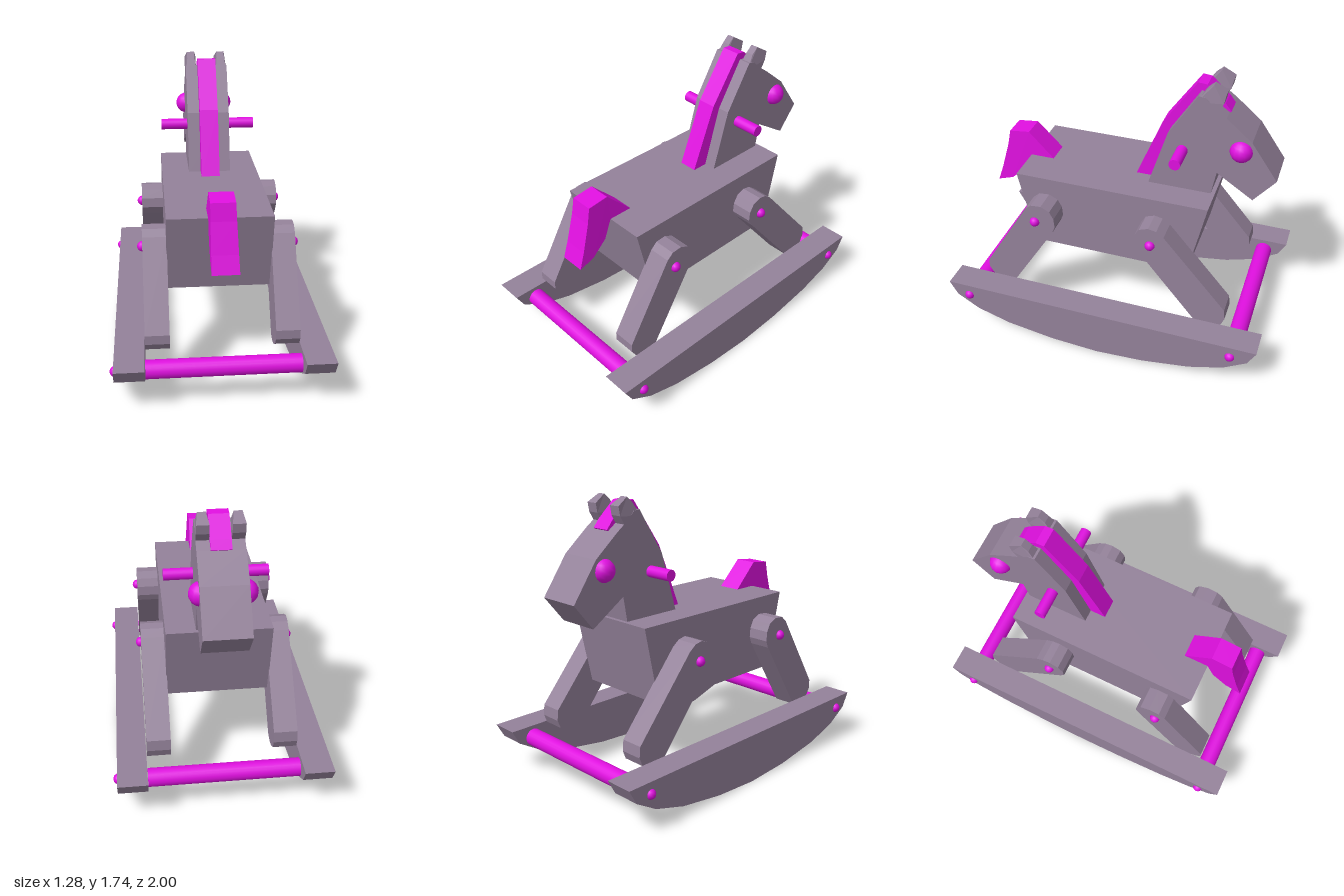
import * as THREE from 'three';

export function createModel() {
  const model = new THREE.Group();
  model.name = 'rockingHorse';
  const wood = new THREE.MeshStandardMaterial({ color: 0x94829a });
  wood.name = 'mauve wood';
  const accent = new THREE.MeshStandardMaterial({ color: 0xe010e0 });
  accent.name = 'magenta accent';

  function add(name, geometry, material, x = 0, y = 0, z = 0) {
    const mesh = new THREE.Mesh(geometry, material);
    mesh.name = name;
    mesh.position.set(x, y, z);
    model.add(mesh);
    return mesh;
  }

  // Side profile given as [z, y] points, extruded across x and centred on x = 0
  function slab(points, width) {
    const shape = new THREE.Shape(points.map(([z, y]) => new THREE.Vector2(z, y)));
    const g = new THREE.ExtrudeGeometry(shape, { depth: width, bevelEnabled: false });
    g.translate(0, 0, -width / 2);
    g.rotateY(-Math.PI / 2);
    return g;
  }

  // Shift the x of each vertex by a rule
  function bend(g, rule) {
    const p = g.attributes.position;
    for (let i = 0; i < p.count; i++) p.setX(i, rule(p.getX(i), p.getY(i), p.getZ(i)));
    g.computeVertexNormals();
    return g;
  }

  function rod(name, radius, length, y, z) {
    const g = new THREE.CylinderGeometry(radius, radius, length, 20);
    g.rotateZ(Math.PI / 2);
    add(name, g, accent, 0, y, z);
  }

  // Body
  add('body', slab([[0.61, 1.03], [0.5, 0.55], [-0.487, 0.55], [-0.59, 1.03]], 0.61), wood);

  // Neck and head
  add('head', slab([
    [-0.18, 1.03], [-0.29, 1.39], [-0.46, 1.66], [-0.5, 1.655], [-0.57, 1.59], [-0.625, 1.55],
    [-0.78, 1.42], [-0.94, 1.193], [-0.813, 1.037], [-0.592, 1.182], [-0.565, 1.03],
  ], 0.265), wood);

  // Mane running up the neck and over to the forelock
  add('mane', slab([
    [-0.083, 1.03], [-0.24, 1.42], [-0.437, 1.705], [-0.49, 1.7], [-0.6, 1.6], [-0.635, 1.555],
    [-0.61, 1.535], [-0.5, 1.6], [-0.3, 1.35], [-0.2, 1.03],
  ], 0.115), accent);

  // Tail, flaring slightly to one side at the tip
  const tail = slab([
    [0.46, 1.03], [0.62, 1.19], [0.75, 1.175], [0.77, 1.075], [0.82, 0.9],
    [0.855, 0.797], [0.755, 0.83], [0.66, 0.915], [0.61, 1.03],
  ], 0.14);
  add('tail', bend(tail, (x, y) => (x > 0 ? x + 0.04 * Math.max(0, 1.17 - y) : x)), accent);

  // Cross rods and handle
  rod('rearCrossRod', 0.054, 0.885, 0.23, 0.857);
  rod('frontCrossRod', 0.054, 0.885, 0.23, -0.85);
  rod('handle', 0.034, 0.6, 1.295, -0.38);

  const rockerHalf = [[1, 0.305], [0.95, 0.215], [0.81, 0.13], [0.6, 0.065], [0.3, 0.018]];
  const rocker = [...rockerHalf, [0, 0], ...rockerHalf.map(([z, y]) => [-z, y]).reverse()];
  const rearLeg = [
    [0.315, 0.785], [0.32, 0.845], [0.345, 0.893], [0.4, 0.92], [0.465, 0.915], [0.505, 0.88],
    [0.795, 0.405], [0.795, 0.35], [0.768, 0.305], [0.71, 0.27], [0.66, 0.265], [0.62, 0.28], [0.333, 0.74],
  ];
  const frontLeg = [
    [-0.185, 0.79], [-0.19, 0.85], [-0.22, 0.9], [-0.275, 0.92], [-0.325, 0.91], [-0.37, 0.877],
    [-0.76, 0.42], [-0.766, 0.353], [-0.745, 0.3], [-0.69, 0.268], [-0.64, 0.265], [-0.59, 0.28], [-0.215, 0.74],
  ];
  const ear = [
    [-0.45, 1.62], [-0.5, 1.7], [-0.54, 1.735], [-0.613, 1.69], [-0.603, 1.635], [-0.57, 1.58], [-0.5, 1.56],
  ];

  // Mirrored parts
  for (const [side, s] of [['left', 1], ['right', -1]]) {
    add(side + 'Rocker', slab(rocker, 0.172), wood, s * 0.531);
    add(side + 'RearLeg', slab(rearLeg, 0.14), wood, s * 0.371);
    add(side + 'FrontLeg', slab(frontLeg, 0.14), wood, s * 0.371);
    const earGeometry = bend(slab(ear, 0.072), (x, y) => x * (y > 1.695 ? 0.65 : 1));
    add(side + 'Ear', earGeometry, wood, s * 0.0965);

    // Eye
    add(side + 'Eye', new THREE.SphereGeometry(0.068, 14, 10), accent, s * 0.12, 1.35, -0.722);

    // Round bolt heads on the legs and rockers
    for (const [name, x, y, z] of [
      ['RearLegBolt', 0.441, 0.8, 0.445], ['FrontLegBolt', 0.441, 0.8, -0.288],
      ['RearRockerBolt', 0.611, 0.232, 0.865], ['FrontRockerBolt', 0.611, 0.232, -0.845],
    ]) {
      add(side + name, new THREE.SphereGeometry(0.031, 12, 8), accent, s * x, y, z);
    }
  }
  return model;
}
